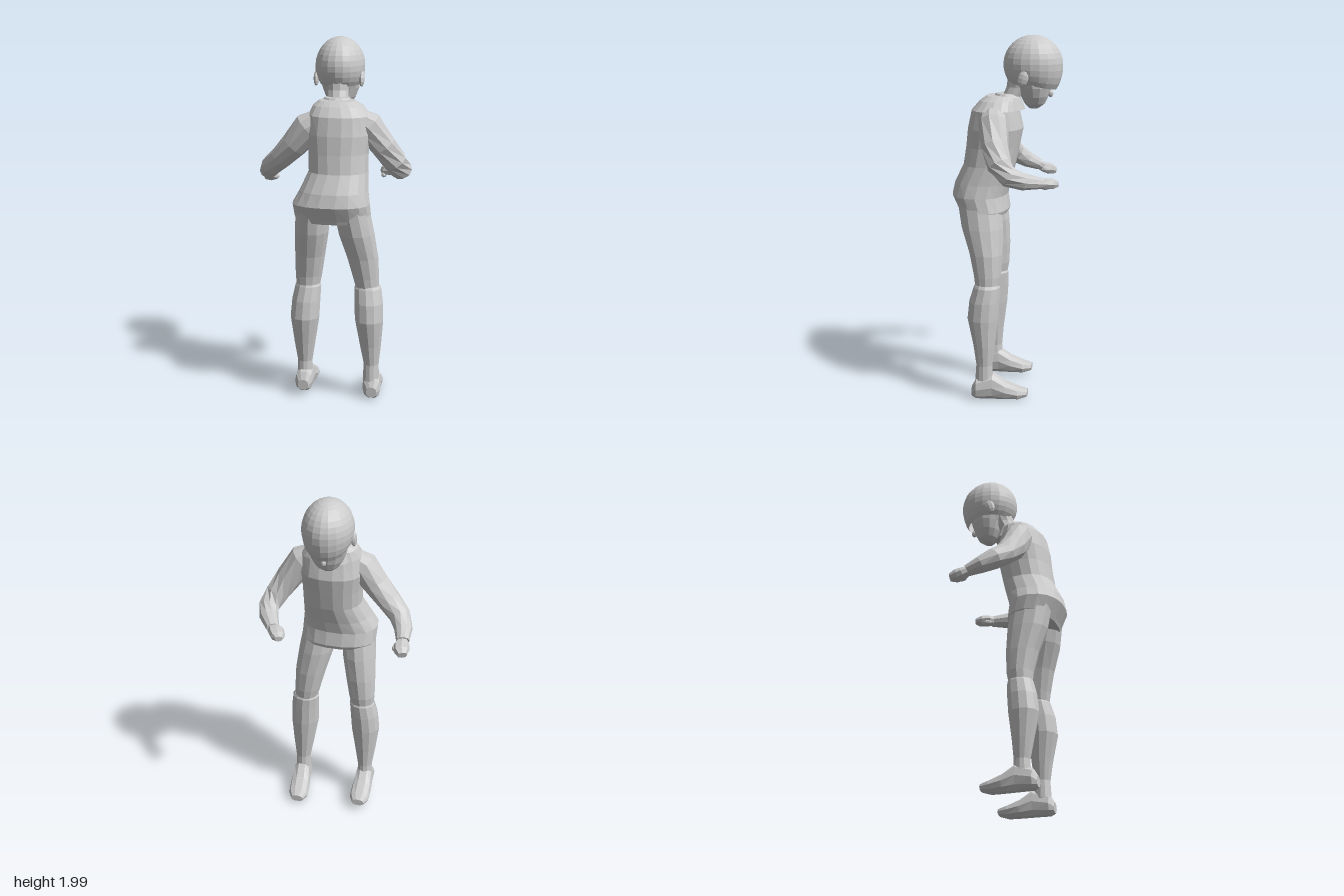
import * as THREE from 'three';

const mat = new THREE.MeshStandardMaterial({ color: 0xcccccc, flatShading: true, side: THREE.DoubleSide });
const Y = new THREE.Vector3(0, 1, 0);
const Z = new THREE.Vector3(0, 0, 1);

// Skin over elliptical rings [x, y, z, halfWidth, halfDepth].
// axis: fixed ring normal, or null to follow the path; square < 1 makes rings boxier.
function loft(name, rings, { axis = null, up = Y, sides = 12, square = 1 } = {}) {
  const pts = rings.map(r => new THREE.Vector3(r[0], r[1], r[2]));
  const pos = [], idx = [], n = rings.length;
  const pow = v => Math.sign(v) * Math.pow(Math.abs(v), square);
  rings.forEach(([, , , a, b], i) => {
    const t = axis ? axis.clone()
      : pts[Math.min(i + 1, n - 1)].clone().sub(pts[Math.max(i - 1, 0)]).normalize();
    const side = new THREE.Vector3().crossVectors(up, t).normalize();
    const u = new THREE.Vector3().crossVectors(t, side);
    for (let j = 0; j < sides; j++) {
      const w = (j / sides) * Math.PI * 2;
      const p = pts[i].clone().addScaledVector(side, a * pow(Math.cos(w))).addScaledVector(u, b * pow(Math.sin(w)));
      pos.push(p.x, p.y, p.z);
    }
  });
  for (let i = 0; i < n - 1; i++) {
    for (let j = 0; j < sides; j++) {
      const k = (j + 1) % sides, a = i * sides, b = a + sides;
      idx.push(a + j, a + k, b + j, a + k, b + k, b + j);
    }
  }
  // end caps
  const c = n * sides, last = (n - 1) * sides;
  pos.push(...pts[0].toArray(), ...pts[n - 1].toArray());
  for (let j = 0; j < sides; j++) {
    const k = (j + 1) % sides;
    idx.push(c, k, j, c + 1, last + j, last + k);
  }
  const g = new THREE.BufferGeometry();
  g.setAttribute('position', new THREE.Float32BufferAttribute(pos, 3));
  g.setIndex(idx);
  g.computeVertexNormals();
  const mesh = new THREE.Mesh(g, mat);
  mesh.name = name;
  return mesh;
}

const upright = { axis: Y, up: Z };

function ball(name, x, y, z, rx, ry, rz) {
  const m = new THREE.Mesh(new THREE.SphereGeometry(1, 8, 6), mat);
  m.name = name;
  m.position.set(x, y, z);
  m.scale.set(rx, ry, rz);
  return m;
}

function makeHead() {
  const head = new THREE.Group();
  head.name = 'head';
  // hair cap: open sphere whose front rim is drawn down into a fringe
  const g = new THREE.SphereGeometry(1, 20, 12, 0, Math.PI * 2, 0, Math.PI * 0.72);
  const p = g.attributes.position;
  for (let i = 0; i < p.count; i++) {
    const x = p.getX(i), y = p.getY(i), z = p.getZ(i);
    const low = Math.max(0, -y), front = Math.max(0, -z);
    p.setXYZ(i, 0.015 + x * 0.137, 1.84 + y * 0.16 - low * front * 0.06, -0.14 + z * 0.163);
  }
  g.computeVertexNormals();
  const hair = new THREE.Mesh(g, mat);
  hair.name = 'hairCap';
  // face narrowing to the chin
  const face = loft('face', [
    [0.015, 1.605, -0.145, 0.03, 0.025],
    [0.015, 1.63, -0.15, 0.06, 0.055],
    [0.015, 1.67, -0.15, 0.085, 0.075],
    [0.015, 1.72, -0.15, 0.104, 0.09],
    [0.015, 1.80, -0.14, 0.115, 0.12],
  ], { ...upright, sides: 14 });
  const nose = ball('nose', 0.015, 1.685, -0.235, 0.014, 0.02, 0.016);
  head.add(hair, face, nose);
  for (const s of [-1, 1]) {
    const ear = ball(s > 0 ? 'leftEar' : 'rightEar', 0.015 + s * 0.127, 1.775, -0.1, 0.016, 0.045, 0.03);
    ear.rotation.x = -0.3;
    head.add(ear);
  }
  return head;
}

function makeLeg(name, thigh, calf, foot, dy, dz) {
  const leg = new THREE.Group();
  leg.name = name;
  leg.add(loft('thigh', thigh, upright), loft('calf', calf, upright));
  // heel to toe
  const [heelX, toeX] = foot;
  const shape = [
    [0.165, 0.055, 0.03, 0.03], [0.14, 0.07, 0.05, 0.058], [0.05, 0.085, 0.053, 0.075],
    [-0.02, 0.06, 0.058, 0.05], [-0.09, 0.045, 0.057, 0.035], [-0.14, 0.045, 0.036, 0.02],
  ];
  leg.add(loft('foot', shape.map(([z, y, a, b]) => {
    const t = (0.165 - z) / 0.305;
    return [heelX + (toeX - heelX) * t, y + dy, z + dz, a, b];
  }), { axis: new THREE.Vector3(0, 0, -1), sides: 10, square: 0.85 }));
  return leg;
}

function makeArm(name, sleeve, hand, thumb) {
  const arm = new THREE.Group();
  arm.name = name;
  arm.add(loft('sleeve', sleeve, { sides: 10 }), loft('hand', hand, { sides: 8, square: 0.8 }),
    ball('thumb', ...thumb, 0.016, 0.016, 0.03));
  return arm;
}

export function createModel() {
  const model = new THREE.Group();
  model.name = 'figure';
  model.add(makeHead());

  model.add(loft('neck', [
    [0.022, 1.60, 0.0, 0.07, 0.065],
    [0.022, 1.67, -0.025, 0.06, 0.052],
    [0.02, 1.72, -0.05, 0.058, 0.055],
    [0.018, 1.80, -0.08, 0.075, 0.075],
  ], { ...upright, sides: 10 }));

  // jacket with flared hem
  model.add(loft('torso', [
    [0.03, 1.03, 0.125, 0.2, 0.13],
    [0.025, 1.05, 0.125, 0.212, 0.138],
    [0.02, 1.13, 0.15, 0.213, 0.152],
    [0.033, 1.2, 0.133, 0.188, 0.152],
    [0.05, 1.3, 0.093, 0.163, 0.142],
    [0.047, 1.4, 0.075, 0.165, 0.145],
    [0.047, 1.5, 0.06, 0.178, 0.15],
    [0.047, 1.6, 0.06, 0.168, 0.128],
    [0.038, 1.65, 0.045, 0.137, 0.1],
    [0.032, 1.675, 0.035, 0.1, 0.075],
  ], { ...upright, sides: 18, square: 0.88 }));
  model.add(loft('collar', [
    [0.025, 1.60, -0.01, 0.1, 0.09],
    [0.025, 1.665, 0.0, 0.085, 0.075],
    [0.025, 1.685, 0.0, 0.07, 0.06],
  ], { ...upright, sides: 12 }));

  model.add(makeArm('rightArm', [
    [-0.04, 1.58, 0.075, 0.06, 0.06],
    [-0.12, 1.53, 0.08, 0.078, 0.085],
    [-0.2, 1.43, 0.07, 0.075, 0.075],
    [-0.28, 1.35, 0.045, 0.068, 0.062],
    [-0.345, 1.295, 0.005, 0.06, 0.058],
    [-0.38, 1.25, -0.06, 0.05, 0.046],
    [-0.392, 1.22, -0.13, 0.036, 0.032],
  ], [
    [-0.392, 1.222, -0.12, 0.026, 0.024],
    [-0.392, 1.205, -0.155, 0.043, 0.03],
    [-0.398, 1.195, -0.19, 0.043, 0.032],
    [-0.41, 1.185, -0.22, 0.026, 0.02],
  ], [-0.36, 1.195, -0.17]));

  model.add(makeArm('leftArm', [
    [0.12, 1.59, 0.06, 0.06, 0.06],
    [0.205, 1.54, 0.05, 0.08, 0.085],
    [0.285, 1.43, 0.03, 0.075, 0.072],
    [0.345, 1.34, -0.005, 0.066, 0.066],
    [0.375, 1.285, -0.06, 0.058, 0.055],
    [0.355, 1.26, -0.13, 0.052, 0.046],
    [0.305, 1.245, -0.22, 0.036, 0.03],
  ], [
    [0.31, 1.245, -0.21, 0.026, 0.024],
    [0.28, 1.24, -0.24, 0.045, 0.028],
    [0.26, 1.235, -0.275, 0.04, 0.028],
    [0.247, 1.232, -0.302, 0.02, 0.016],
  ], [0.25, 1.215, -0.235]));

  model.add(makeLeg('rightLeg', [
    [-0.125, 0.61, 0.09, 0.062, 0.062],
    [-0.12, 0.7, 0.085, 0.075, 0.075],
    [-0.11, 0.82, 0.095, 0.085, 0.092],
    [-0.095, 0.96, 0.12, 0.095, 0.115],
    [-0.085, 1.1, 0.14, 0.095, 0.12],
  ], [
    [-0.14, 0.1, 0.1, 0.046, 0.05],
    [-0.14, 0.2, 0.1, 0.042, 0.045],
    [-0.14, 0.31, 0.105, 0.06, 0.06],
    [-0.138, 0.46, 0.11, 0.082, 0.085],
    [-0.132, 0.56, 0.1, 0.08, 0.083],
    [-0.122, 0.64, 0.088, 0.073, 0.073],
    [-0.122, 0.655, 0.088, 0.066, 0.066],
  ], [-0.135, -0.15], 0.02, 0.022));

  model.add(makeLeg('leftLeg', [
    [0.215, 0.61, 0.085, 0.06, 0.062],
    [0.203, 0.7, 0.085, 0.074, 0.075],
    [0.185, 0.82, 0.095, 0.088, 0.092],
    [0.155, 0.96, 0.12, 0.1, 0.115],
    [0.13, 1.1, 0.14, 0.1, 0.12],
  ], [
    [0.238, 0.1, 0.1, 0.046, 0.05],
    [0.238, 0.2, 0.098, 0.043, 0.045],
    [0.233, 0.31, 0.1, 0.06, 0.06],
    [0.226, 0.46, 0.108, 0.08, 0.085],
    [0.222, 0.56, 0.1, 0.081, 0.083],
    [0.214, 0.64, 0.086, 0.076, 0.073],
    [0.214, 0.655, 0.086, 0.066, 0.066],
  ], [0.25, 0.215], -0.005, 0));

  return model;
}
